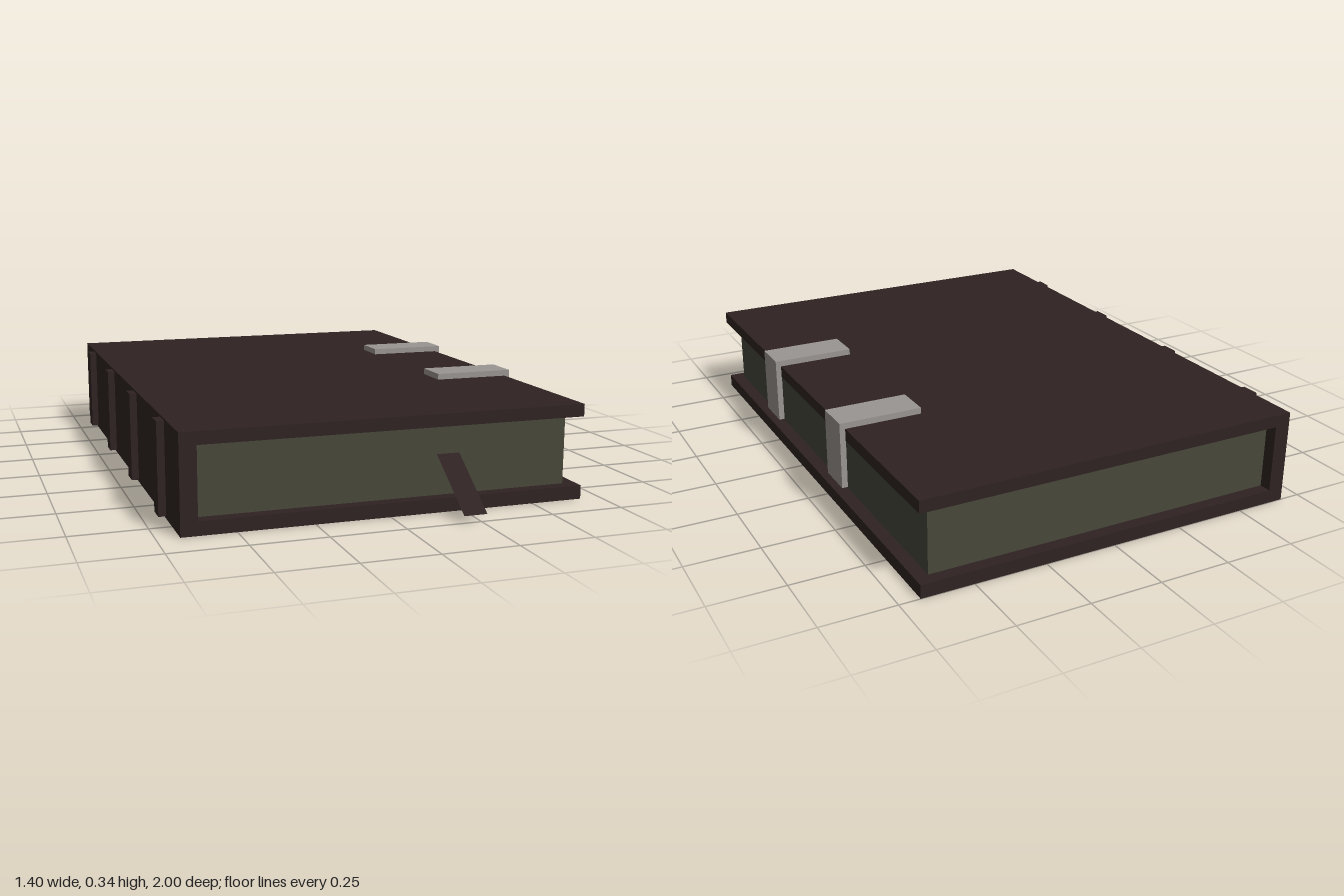
import * as THREE from 'three';

const material = (name, color, side = THREE.FrontSide) => {
  const m = new THREE.MeshStandardMaterial({ color, side });
  m.name = name;
  return m;
};

// Box given by its lower and upper limits on each axis
function slab(name, mat, [x0, x1], [y0, y1], [z0, z1]) {
  const mesh = new THREE.Mesh(new THREE.BoxGeometry(x1 - x0, y1 - y0, z1 - z0), mat);
  mesh.position.set((x0 + x1) / 2, (y0 + y1) / 2, (z0 + z1) / 2);
  mesh.name = name;
  return mesh;
}

export function createModel() {
  const leather = material('dark leather', 0x2e2322, THREE.DoubleSide);
  const paper = material('aged paper', 0x48483b);
  const metal = material('clasp metal', 0x9a9592);

  const book = new THREE.Group();
  book.name = 'book';

  // Covers, spine and page block
  const coverX = [-0.677, 0.679];
  const coverZ = [-1, 0.868];
  book.add(
    slab('backCover', leather, coverX, [0, 0.046], coverZ),
    slab('frontCover', leather, coverX, [0.28, 0.322], coverZ),
    slab('spine', leather, [-0.677, -0.622], [0.046, 0.28], coverZ),
    slab('pages', paper, [-0.622, 0.634], [0.046, 0.28], [-0.956, 0.825])
  );

  // Raised bands across the spine
  for (let i = 0; i < 4; i++) {
    const z = -0.77 + i * 0.467;
    book.add(slab('spineBand', leather, [-0.702, -0.677], [0.008, 0.315], [z - 0.032, z + 0.032]));
  }

  // Two L-shaped clasps, each folded over the fore edge
  const profile = new THREE.Shape([
    [0.41, 0.322], [0.678, 0.322], [0.678, 0.114], [0.698, 0.114], [0.698, 0.343], [0.41, 0.343],
  ].map(([x, y]) => new THREE.Vector2(x, y)));
  for (const z of [-0.444, 0.179]) {
    const clasp = new THREE.Mesh(new THREE.ExtrudeGeometry(profile, { depth: 0.129, bevelEnabled: false }), metal);
    clasp.position.z = z;
    clasp.name = 'clasp';
    book.add(clasp);
  }

  // Flat ribbon slanting out of the pages
  const ribbonGeo = new THREE.PlaneGeometry(0.079, 1);
  const p = ribbonGeo.attributes.position;
  for (let i = 0; i < p.count; i++) {
    const t = 0.5 - p.getY(i); // 0 at the pages, 1 at the loose end
    p.setXYZ(i, 0.212 + 0.018 * t + p.getX(i), 0.184 - 0.161 * t, 0.822 + 0.178 * t);
  }
  ribbonGeo.computeVertexNormals();
  const ribbon = new THREE.Mesh(ribbonGeo, leather);
  ribbon.name = 'bookmarkRibbon';
  book.add(ribbon);

  return book;
}
